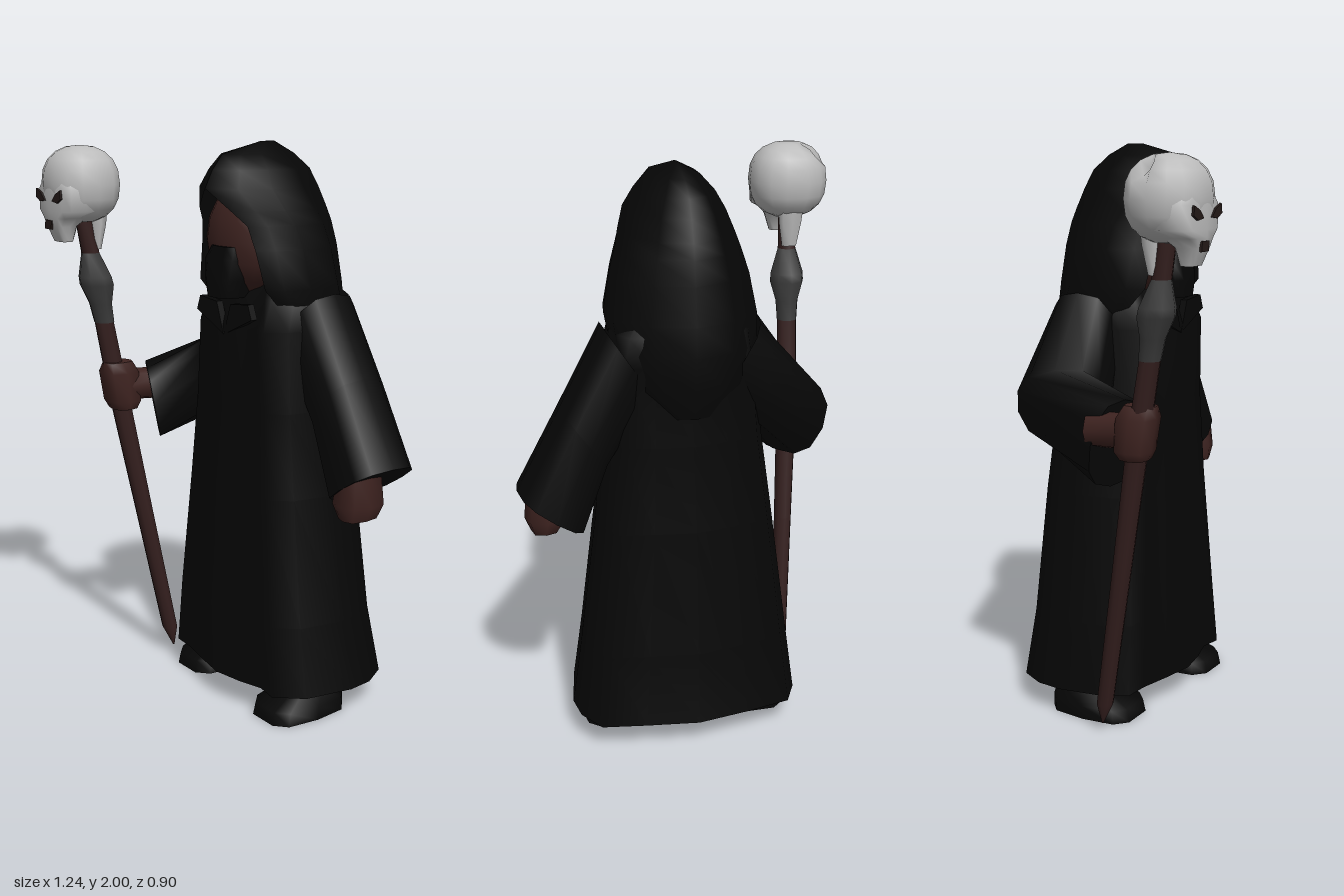
import * as THREE from 'three';
import { mergeVertices } from 'three/addons/utils/BufferGeometryUtils.js';

const V = (x, y, z) => new THREE.Vector3(x, y, z);
const mat = (name, color, side = THREE.FrontSide) => {
  const m = new THREE.MeshStandardMaterial({ color, side });
  m.name = name;
  return m;
};
// Signed power: below 1 swells a round form towards a box
const soft = (s, power) => Math.sign(s) * Math.abs(s) ** power;

// Ring around centre c with half axes u and v
function ring(c, u, v, n = 12, power = 0.8) {
  return Array.from({ length: n }, (_, i) => {
    const t = (i / n) * Math.PI * 2;
    return c.clone().addScaledVector(u, soft(Math.cos(t), power)).addScaledVector(v, soft(Math.sin(t), power));
  });
}

// Horizontal ring given by its extents
const level = (y, xl, xr, zf, zb, n = 10, power = 0.6) =>
  ring(V((xl + xr) / 2, y, (zf + zb) / 2), V((xr - xl) / 2, 0, 0), V(0, 0, (zb - zf) / 2), n, power);

// Skin a row of rings, optionally capping either end
function loft(rings, { closed = true, start = false, end = false } = {}) {
  const n = rings[0].length, pts = rings.flat(), idx = [];
  for (let i = 0; i < rings.length - 1; i++) {
    for (let j = 0; j < (closed ? n : n - 1); j++) {
      const a = i * n + j, b = i * n + ((j + 1) % n);
      idx.push(a, b, a + n, b, b + n, a + n);
    }
  }
  const cap = (r, flip) => {
    const base = pts.length;
    const mid = r.reduce((s, p) => s.add(p), V(0, 0, 0)).divideScalar(n);
    pts.push(...r, mid);
    for (let j = 0; j < n; j++) {
      const a = base + j, b = base + ((j + 1) % n);
      idx.push(base + n, flip ? b : a, flip ? a : b);
    }
  };
  if (start) cap(rings[0], true);
  if (end) cap(rings[rings.length - 1], false);
  const g = new THREE.BufferGeometry().setFromPoints(pts);
  g.setIndex(idx);
  g.computeVertexNormals();
  return g;
}

// Flat piece cut from an outline of [x, y] corners
const plate = (corners, depth) =>
  new THREE.ExtrudeGeometry(new THREE.Shape(corners.map(([x, y]) => new THREE.Vector2(x, y))), { depth, bevelEnabled: false });

export function createModel() {
  const group = new THREE.Group();
  const cloth = mat('black cloth', 0x060606, THREE.DoubleSide);
  const hair = mat('black hair', 0x050505);
  const skin = mat('brown skin', 0x3e2320);
  const wood = mat('dark wood', 0x341f1e);
  const iron = mat('grey iron', 0x3c3c3c);
  const bone = mat('pale bone', 0xbcbcbc);
  const socket = mat('dark socket', 0x241a18);
  const add = (name, geo, material, pos) => {
    const m = new THREE.Mesh(geo, material);
    m.name = name;
    if (pos) m.position.set(...pos);
    group.add(m);
    return m;
  };
  const CX = 0.045;

  // Robe, open at the hem: one folded outline scaled to each height
  const folds = [
    [1, -0.1], [0.97, -0.45], [0.83, -0.8], [0.45, -0.9], [0, -1], [-0.45, -0.9], [-0.85, -0.78], [-0.97, -0.45],
    [-1, -0.1], [-0.94, 0.45], [-0.82, 0.8], [-0.6, 0.82], [-0.3, 0.92], [0, 1], [0.28, 0.93], [0.52, 0.83],
    [0.72, 0.88], [0.92, 0.55],
  ];
  add('robe', loft([
    [0.1, -0.36, 0.45, 0.1, -0.45], [0.35, -0.33, 0.41, 0.09, -0.41],
    [0.8, -0.27, 0.35, 0.07, -0.38], [1.1, -0.23, 0.32, 0.06, -0.35],
    [1.38, -0.2, 0.31, 0.065, -0.36], [1.48, -0.18, 0.29, 0.02, -0.36],
    [1.56, -0.1, 0.2, -0.05, -0.28],
  ].map(([y, xl, xr, zf, zb]) => folds.map(([x, z]) =>
    V((xl + xr + x * (xr - xl)) / 2, y, (zf + zb + z * (zf - zb)) / 2))), { end: true }), cloth);

  // Hood: C-shaped rows [y, half width, half opening, front z, back z]
  const hoodRows = [
    [1.2, 0.1, 0.08, -0.2, -0.36], [1.3, 0.18, 0.16, -0.18, -0.39], [1.42, 0.24, 0.2, -0.06, -0.4],
    [1.52, 0.25, 0.19, 0.03, -0.39], [1.65, 0.225, 0.155, 0.045, -0.375], [1.73, 0.2, 0.13, 0.06, -0.36],
    [1.78, 0.185, 0.09, 0.1, -0.345], [1.85, 0.16, 0, 0.14, -0.32], [1.91, 0.125, 0, 0.11, -0.29],
    [1.96, 0.08, 0, 0.07, -0.23], [2.0, 0.006, 0, -0.09, -0.15],
  ];
  const across = [0, 0.7, 1, 0.97, 0.55, 0], along = [0, 0.12, 0.35, 0.65, 0.9, 1];
  add('hood', loft(hoodRows.map(([y, w, g, zf, zb]) => {
    const half = along.map((d, i) => V(i < 2 ? g + (w - g) * across[i] : w * across[i], y, zf + (zb - zf) * d));
    const other = half.slice(0, -1).reverse().map((p) => V(-p.x, p.y, p.z));
    return [...half, ...other].map((p) => V(p.x + CX, p.y, p.z));
  }), { closed: false, end: true }), cloth);

  // Collar folds
  for (const s of [-1, 1]) {
    const fold = plate([[0, 1.35], [0.16, 1.42], [0.14, 1.47], [0.04, 1.46]].map(([x, y]) => [s * x, y]), 0.025);
    add('collarFold', fold, cloth, [CX, 0, 0.04]);
  }

  // Face and beard
  add('face', new THREE.SphereGeometry(1, 12, 8), skin, [0.035, 1.67, -0.03]).scale.set(0.17, 0.19, 0.11);
  add('beard', loft([
    level(1.48, -0.03, 0.1, 0.1, -0.02), level(1.54, -0.045, 0.115, 0.105, -0.04),
    level(1.61, -0.055, 0.125, 0.095, -0.04), level(1.655, -0.025, 0.12, 0.085, -0.04),
  ], { start: true, end: true }), hair);

  // Left arm hangs, right arm reaches forward to the staff
  add('leftSleeve', loft([
    ring(V(0.24, 1.38, -0.2), V(0.08, 0.12, 0), V(0, 0, 0.13)),
    ring(V(0.39, 1.13, -0.21), V(0.075, 0.1, 0), V(0, 0, 0.135)),
    ring(V(0.51, 0.875, -0.215), V(0.11, 0.075, 0), V(0, 0, 0.145)),
  ], { end: true }), cloth);
  add('leftHand', loft([
    level(0.77, 0.48, 0.57, -0.08, -0.21, 8), level(0.82, 0.45, 0.59, -0.07, -0.23, 8),
    level(0.93, 0.47, 0.58, -0.08, -0.22, 8),
  ], { start: true, end: true }), skin);
  add('rightSleeve', loft([
    ring(V(-0.13, 1.38, -0.2), V(-0.08, 0.12, 0), V(0, 0, -0.13)),
    ring(V(-0.335, 1.13, -0.18), V(-0.05, 0.13, 0), V(-0.085, -0.02, -0.13)),
    ring(V(-0.4, 1.04, 0.075), V(0, 0.15, 0.03), V(-0.09, 0, -0.05)),
  ], { end: true }), cloth);
  add('rightForearm', loft([
    ring(V(-0.435, 1.09, 0), V(0, 0.06, 0), V(-0.06, 0, 0), 8),
    ring(V(-0.455, 1.1, 0.18), V(0, 0.06, 0), V(-0.06, 0, 0), 8),
  ], { end: true }), skin);
  add('rightHand', loft([
    level(1.01, -0.5, -0.4, 0.22, 0.13, 8), level(1.04, -0.52, -0.39, 0.235, 0.115, 8),
    level(1.15, -0.52, -0.39, 0.255, 0.12, 8), level(1.19, -0.49, -0.41, 0.25, 0.14, 8),
  ], { start: true, end: true }), skin);

  // Shoes with low toes, and ankles
  for (const [side, x, z, ankle] of [['left', 0.295, -0.07, skin], ['right', -0.23, -0.1, hair]]) {
    add(side + 'Shoe', loft([
      level(0, x - 0.115, x + 0.115, z + 0.15, z - 0.18), level(0.045, x - 0.11, x + 0.11, z + 0.14, z - 0.18),
      level(0.09, x - 0.075, x + 0.075, z + 0.05, z - 0.17),
    ], { start: true, end: true }), hair);
    add(side + 'Ankle', new THREE.CylinderGeometry(0.06, 0.05, 0.14, 8), ankle, [x, 0.14, z - 0.1]);
  }

  // Staff sections follow one leaning axis
  const axis = (y) => V(y < 1.08 ? -0.39 - 0.067 * (y - 0.03) : -0.46 - 0.03 * (y - 1.08), y, 0.182 * (y - 0.03));
  const turned = (rows) => loft(rows.map(([y, r]) => ring(axis(y), V(r, 0, 0), V(0, 0, -r), 8, 1)), { start: true, end: true });
  add('staff', turned([[0.03, 0.003], [0.11, 0.03], [0.6, 0.034], [1.08, 0.039], [1.37, 0.036]]), wood);
  add('staffCollar', turned([[1.34, 0.038], [1.41, 0.043], [1.48, 0.064], [1.51, 0.062], [1.6, 0.033]]), iron);
  add('staffTop', turned([[1.59, 0.034], [1.78, 0.03]]), wood);

  // Skull: boxy cranium with a dent high on its back right
  const SX = -0.48;
  let cranium = new THREE.SphereGeometry(1, 14, 10);
  const p = cranium.attributes.position, dent = V(-0.6, 0.75, -0.28).normalize(), q = V(0, 0, 0);
  for (let i = 0; i < p.count; i++) {
    q.fromBufferAttribute(p, i);
    const push = q.distanceTo(dent) < 0.26 ? 0.78 : 1;
    p.setXYZ(i, soft(q.x, 0.85) * push * 0.141, soft(q.y, 0.85) * push * 0.136, soft(q.z, 0.9) * push * 0.133);
  }
  cranium.deleteAttribute('uv');
  cranium.deleteAttribute('normal');
  cranium = mergeVertices(cranium, 1e-5);
  cranium.computeVertexNormals();
  add('cranium', cranium, bone, [SX, 1.844, 0.315]);
  const faceRow = (y, w, zf, zb) => level(y, SX - w, SX + w, zf, zb, 12);
  add('skullFace', loft([
    faceRow(1.645, 0.04, 0.415, 0.365), faceRow(1.7, 0.055, 0.438, 0.35), faceRow(1.73, 0.075, 0.445, 0.31),
    faceRow(1.755, 0.12, 0.445, 0.28), faceRow(1.83, 0.122, 0.445, 0.28), faceRow(1.86, 0.1, 0.435, 0.28),
  ], { start: true, end: true }), bone);
  add('skullSpine', loft([
    level(1.61, -0.505, -0.45, 0.28, 0.248, 8), level(1.7, -0.52, -0.435, 0.29, 0.23, 8),
    level(1.8, -0.53, -0.43, 0.3, 0.22, 8),
  ], { start: true, end: true }), bone);
  for (const s of [-1, 1]) {
    const eye = plate([[0.025, 1.79], [0.06, 1.785], [0.09, 1.8], [0.085, 1.83], [0.05, 1.815]].map(([x, y]) => [s * x, y]), 0.008);
    add('eyeSocket', eye, socket, [SX, 0, 0.44]);
  }
  add('noseHole', plate([[-0.035, 1.69], [0.01, 1.69], [0.015, 1.722], [-0.03, 1.722]], 0.008), socket, [SX, 0, 0.437]);

  return group;
}
